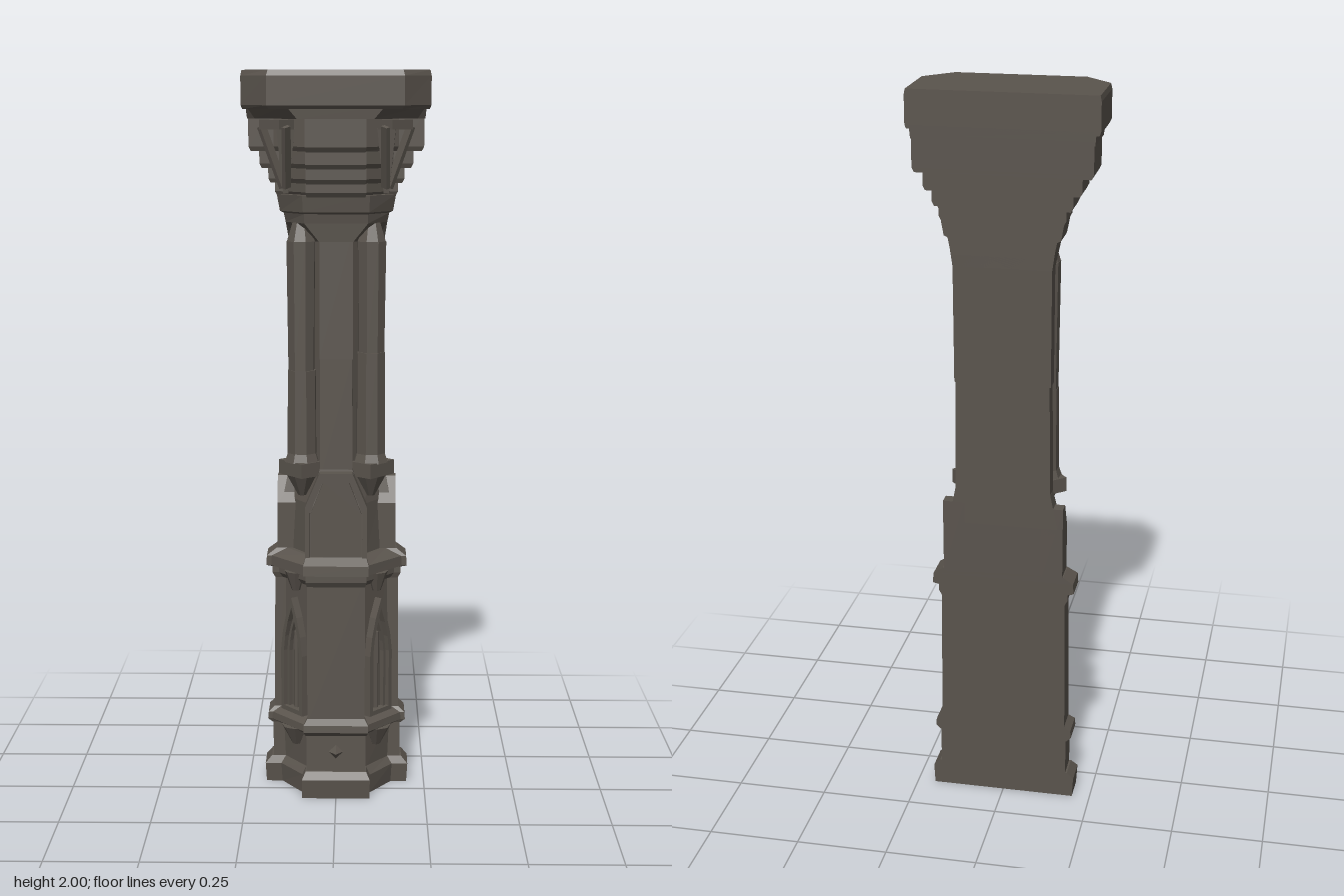
import * as THREE from 'three';

const BACK = -0.13;

export function createModel() {
  const model = new THREE.Group();
  model.name = 'wallPillar';
  const stone = new THREE.MeshStandardMaterial({ color: 0x5a544d, flatShading: true });
  stone.name = 'darkStone';

  const add = (name, geo, parent = model) => {
    const m = new THREE.Mesh(geo, stone);
    m.name = name;
    parent.add(m);
    return m;
  };

  // Half-plan outline: front lobe (half width a, depth zf), side lobes
  // (half width b, depth zs) and diagonal corners recessed by d.
  const outline = ([, a, zf, b, zs, d]) => {
    const half = [[b, BACK], [b, zs], [b - d, zs], [a, zf - d], [a, zf]];
    return [...half, ...half.slice().reverse().map(([x, z]) => [-x, z])];
  };

  // Solid with a flat back, lofted through levels [y, a, zf, b, zs, d].
  const loft = (name, levels) => {
    const pos = [];
    const rings = levels.map(l => outline(l).map(([x, z]) => [x, l[0], z]));
    const n = rings[0].length;
    for (let i = 0; i < n; i++) {
      const j = (i + 1) % n;
      for (let k = 0; k < rings.length - 1; k++) {
        const p = rings[k], q = rings[k + 1];
        pos.push(...p[i], ...q[i], ...p[j], ...p[j], ...q[i], ...q[j]);
      }
      const top = rings[rings.length - 1], bot = rings[0];
      pos.push(0, top[0][1], -0.11, ...top[j], ...top[i]);
      pos.push(0, bot[0][1], -0.11, ...bot[i], ...bot[j]);
    }
    const g = new THREE.BufferGeometry();
    g.setAttribute('position', new THREE.Float32BufferAttribute(pos, 3));
    g.computeVertexNormals();
    return add(name, g);
  };

  // Group facing outward on a diagonal corner, s = +1 or -1.
  const corner = (name, s, x, z, angle = 0.86) => {
    const g = new THREE.Group();
    g.name = name;
    g.position.set(s * x, 0, z);
    g.rotation.y = s * angle;
    model.add(g);
    return g;
  };

  // Pointed arch path from y0 to its apex y1, springing at ys.
  const lancet = (path, w, y0, ys, y1) => {
    path.moveTo(-w, y0);
    path.lineTo(w, y0);
    path.lineTo(w, ys);
    path.quadraticCurveTo(w * 0.85, (ys + y1) / 2, 0, y1);
    path.quadraticCurveTo(-w * 0.85, (ys + y1) / 2, -w, ys);
    path.lineTo(-w, y0);
    return path;
  };
  const archFrame = (w, y0, ys, y1, t, depth) => {
    const s = lancet(new THREE.Shape(), w, y0, ys, y1);
    s.holes.push(lancet(new THREE.Path(), w - t, y0 + t, ys, y1 - t * 2.2));
    return new THREE.ExtrudeGeometry(s, { depth, bevelEnabled: false, curveSegments: 3 });
  };

  // Base and pedestal
  loft('plinth', [[0, 0.095, 0.075, 0.2, -0.055, 0.045], [0.055, 0.095, 0.08, 0.203, -0.05, 0.045],
    [0.075, 0.085, 0.065, 0.185, -0.06, 0.04]]);
  loft('pedestal', [[0.07, 0.083, 0.058, 0.18, -0.06, 0.035], [0.19, 0.083, 0.055, 0.18, -0.06, 0.03]]);
  loft('lowerBand', [[0.178, 0.085, 0.058, 0.182, -0.055, 0.018], [0.19, 0.09, 0.068, 0.195, -0.05, 0.012],
    [0.21, 0.09, 0.066, 0.193, -0.05, 0.012], [0.225, 0.08, 0.05, 0.176, -0.06, 0.02]]);
  const stud = add('frontStud', new THREE.OctahedronGeometry(0.02));
  stud.position.set(0, 0.135, 0.066);
  stud.scale.z = 1.2;

  // Lower shaft and its crowning band
  loft('lowerShaft', [[0.21, 0.08, 0.05, 0.176, -0.06, 0.03], [0.63, 0.08, 0.046, 0.172, -0.06, 0.03]]);
  loft('middleBand', [[0.605, 0.08, 0.046, 0.172, -0.06, 0.022], [0.62, 0.084, 0.055, 0.18, -0.055, 0.018],
    [0.638, 0.084, 0.055, 0.18, -0.055, 0.018], [0.642, 0.09, 0.07, 0.197, -0.05, 0.014],
    [0.67, 0.09, 0.068, 0.195, -0.05, 0.014], [0.69, 0.083, 0.045, 0.168, -0.06, 0.03]]);

  // Block above the band
  loft('arcadeBlock', [[0.68, 0.078, 0.035, 0.155, -0.065, 0.03], [0.83, 0.075, 0.03, 0.15, -0.07, 0.03],
    [0.93, 0.045, 0.015, 0.13, -0.09, 0.02]]);
  const archPanel = (w, depth) => {
    const s = new THREE.Shape([[-w, 0.68], [w, 0.68], [w, 0.81], [w * 0.5, 0.9], [-w * 0.5, 0.9], [-w, 0.81]]
      .map(p => new THREE.Vector2(...p)));
    return new THREE.ExtrudeGeometry(s, { depth, bevelEnabled: false });
  };
  add('frontArchPanel', archPanel(0.07, 0.04)).position.z = 0.003;
  const rim = new THREE.Shape([[-0.085, 0.68], [-0.085, 0.83], [-0.045, 0.925], [0.045, 0.925], [0.085, 0.83],
    [0.085, 0.68], [0.072, 0.68], [0.072, 0.815], [0.037, 0.9], [-0.037, 0.9], [-0.072, 0.815], [-0.072, 0.68]]
    .map(p => new THREE.Vector2(...p)));
  add('frontArchRim', new THREE.ExtrudeGeometry(rim, { depth: 0.045, bevelEnabled: false })).position.z = 0.002;

  // Upper shaft in two worn blocks
  loft('upperShaftLow', [[0.9, 0.045, 0.014, 0.13, -0.085, 0.03], [1.235, 0.043, 0.012, 0.126, -0.085, 0.03]]);
  loft('upperShaftHigh', [[1.235, 0.045, 0.015, 0.129, -0.083, 0.03], [1.58, 0.045, 0.014, 0.13, -0.083, 0.03]]);

  for (const s of [1, -1]) {
    const side = s > 0 ? 'left' : 'right';

    // Half arch on the side lobe
    const half = new THREE.Shape([[BACK, 0.68], [-0.06, 0.68], [-0.06, 0.82], [-0.095, 0.89], [BACK, 0.89]]
      .map(p => new THREE.Vector2(...p)));
    const panel = add(side + 'ArchPanel', new THREE.ExtrudeGeometry(half, { depth: 0.06, bevelEnabled: false }));
    panel.rotation.y = -Math.PI / 2;
    panel.position.x = s > 0 ? 0.165 : -0.105;

    // Blind lancet on the diagonal face
    const niche = corner(side + 'Niche', s, 0.106, -0.02);
    add('outerArch', archFrame(0.047, 0.225, 0.4, 0.56, 0.013, 0.026), niche);
    add('innerArch', archFrame(0.031, 0.225, 0.4, 0.51, 0.009, 0.016), niche);
    add('mullion', new THREE.CylinderGeometry(0.008, 0.008, 0.24, 6), niche).position.set(0, 0.34, 0.006);

    // Hanging corbels beneath the bands and the shaft
    const corbels = corner(side + 'Corbels', s, 0.112, -0.01);
    for (const [y, r] of [[0.16, 0.042], [0.61, 0.032]]) {
      add('corbel', new THREE.CylinderGeometry(r, 0.012, 0.055, 8), corbels).position.y = y;
    }

    // Corner colonnette: base, two broken drums, neck
    const col = corner(side + 'Colonnette', s, 0.094, -0.03);
    const drum = (name, r1, r0, y0, y1, x = 0) =>
      add(name, new THREE.CylinderGeometry(r1, r0, y1 - y0, 8).rotateY(Math.PI / 8), col)
        .position.set(x, (y0 + y1) / 2, 0);
    drum('corbel', 0.045, 0.012, 0.85, 0.91);
    const cap = add('ledge', new THREE.BoxGeometry(0.1, 0.04, 0.085), col);
    cap.position.set(0, 0.928, 0);
    drum('base', 0.04, 0.05, 0.945, 0.975);
    drum('lowerDrum', 0.04, 0.042, 0.97, s > 0 ? 1.25 : 1.2);
    drum('upperDrum', 0.041, 0.037, s > 0 ? 1.25 : 1.2, 1.55, s * 0.002);
    drum('neck', 0.025, 0.041, 1.55, 1.6);

    // Carved leaf in the capital's corner
    const leaf = corner(side + 'CapitalLeaf', s, 0.125, 0.012, 0.75);
    add('leafBud', new THREE.CylinderGeometry(0.034, 0.01, 0.17, 4), leaf).position.set(0, 1.765, 0.012);
    for (const t of [1, -1]) {
      const rib = add('leafRib', new THREE.BoxGeometry(0.012, 0.17, 0.022), leaf);
      rib.position.set(t * 0.026, 1.775, 0.035);
      rib.rotation.set(0.25, 0, -t * 0.24);
    }
    add('leafTip', new THREE.BoxGeometry(0.075, 0.025, 0.055), leaf).position.set(0, 1.86, 0.045);
  }

  // Capital: flare, then stepped tiers, then slab
  loft('capitalFlare', [[1.55, 0.045, 0.014, 0.13, -0.083, 0.02], [1.6, 0.085, 0.018, 0.137, -0.05, 0],
    [1.625, 0.085, 0.022, 0.142, -0.045, 0], [1.63, 0.088, 0.03, 0.152, -0.04, 0],
    [1.675, 0.09, 0.036, 0.16, -0.035, 0]]);
  const tiers = [[1.67, 1.705, 0.045, 0.165], [1.705, 1.745, 0.065, 0.182],
    [1.745, 1.79, 0.085, 0.205], [1.79, 1.885, 0.108, 0.233]];
  tiers.forEach(([y0, y1, zf, b], i) => {
    const d = 0.025 + i * 0.014;
    loft('capitalTier' + (i + 1), [[y0, 0.078, zf - 0.008, b - 0.006, -0.045 + i * 0.012, d],
      [y0 + 0.012, 0.08, zf, b, -0.04 + i * 0.012, d], [y1, 0.08, zf, b, -0.04 + i * 0.012, d]]);
  });
  loft('capitalCollar', [[1.875, 0.1, 0.112, 0.235, 0.01, 0.02], [1.91, 0.13, 0.115, 0.238, 0.03, 0]]);
  loft('topSlab', [[1.9, 0.172, 0.12, 0.245, 0.048, 0], [1.91, 0.178, 0.128, 0.249, 0.052, 0],
    [1.985, 0.178, 0.128, 0.249, 0.05, 0], [2, 0.174, 0.121, 0.246, 0.046, 0]]);

  return model;
}
